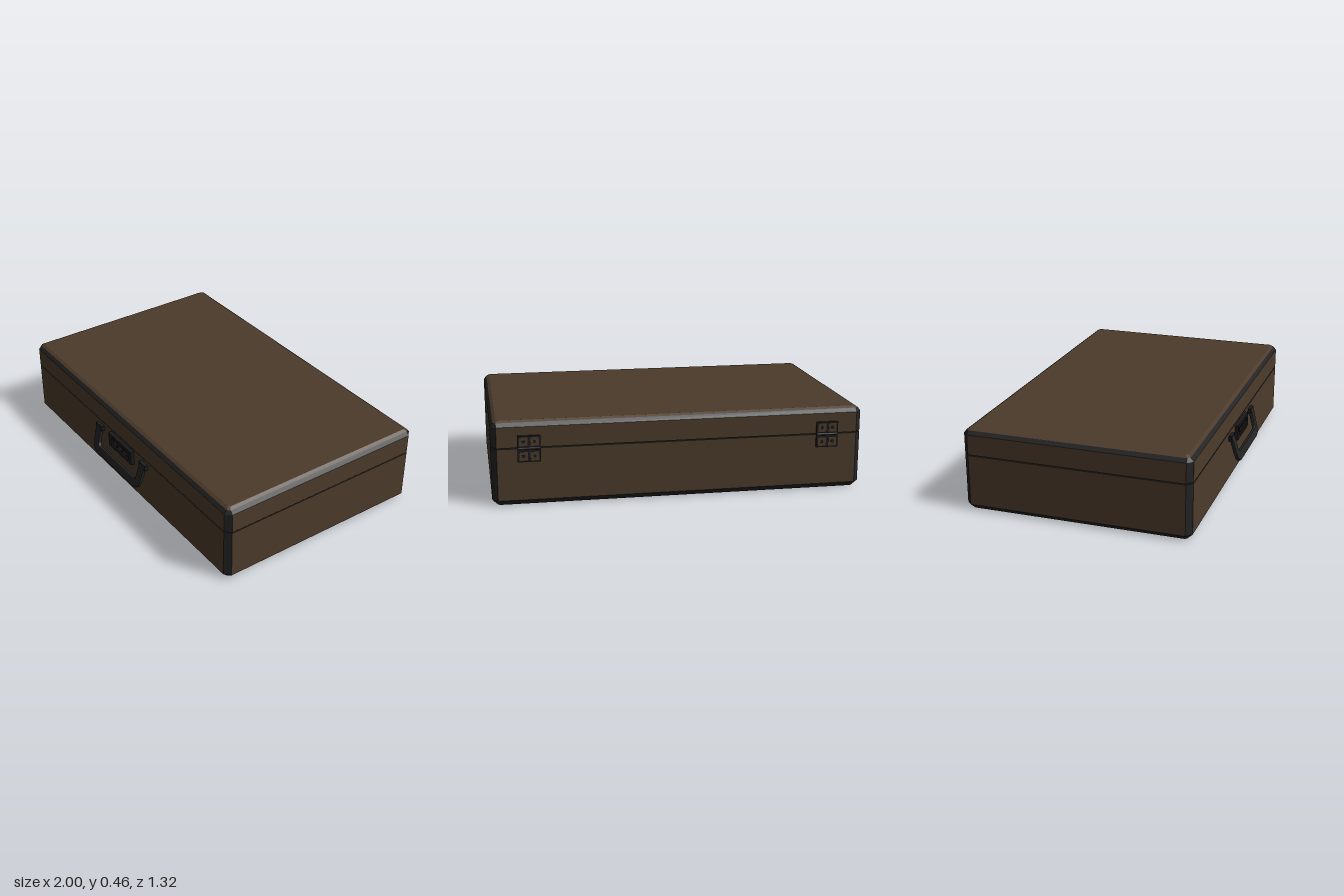
import * as THREE from 'three';

const mat = (name, color, opts = {}) => Object.assign(new THREE.MeshStandardMaterial({ color, ...opts }), { name });

export function createModel() {
  const leather = mat('brownLeather', 0x4c3b2b);
  const trim = mat('darkTrim', 0x242424);
  const metal = mat('blackMetal', 0x1b1b1e);
  const group = new THREE.Group();
  const CZ = -0.025; // depth centre of the case body

  const add = (name, geometry, material, x = 0, y = 0, z = 0, parent = group) => {
    const mesh = new THREE.Mesh(geometry, material);
    mesh.name = name;
    mesh.position.set(x, y, z);
    parent.add(mesh);
    return mesh;
  };
  const box = (name, w, h, d, material, x, y, z, parent) =>
    add(name, new THREE.BoxGeometry(w, h, d), material, x, y, z, parent);

  // Octagonal outline of the case at a given height and inset
  const ring = ([y, inset]) => {
    const hx = 1 - inset, hz = 0.62 - inset, c = Math.max(0.01, 0.03 - inset);
    return [[hx, c - hz], [hx, hz - c], [hx - c, hz], [c - hx, hz],
      [-hx, hz - c], [-hx, c - hz], [c - hx, -hz], [hx - c, -hz]]
      .map(([x, z]) => [x, y, z + CZ]);
  };

  // Half of the case, lofted through [height, inset] levels.
  // bands: 'panel' = leather sides with trim corners, 'trim' or 'leather' = one colour
  const shell = (name, levels, bands, bottomDark, topDark) => {
    const faces = [[], []]; // leather, trim
    const rings = levels.map(ring);
    bands.forEach((band, b) => {
      for (let i = 0; i < 8; i++) {
        const j = (i + 1) % 8, lo = rings[b], up = rings[b + 1];
        const dark = band === 'trim' || (band === 'panel' && i % 2 === 1);
        faces[dark ? 1 : 0].push(lo[i], up[i], lo[j], lo[j], up[i], up[j]);
      }
    });
    const first = rings[0], last = rings[rings.length - 1];
    for (let i = 1; i < 7; i++) {
      faces[bottomDark ? 1 : 0].push(first[0], first[i], first[i + 1]);
      faces[topDark ? 1 : 0].push(last[0], last[i + 1], last[i]);
    }
    const geometry = new THREE.BufferGeometry();
    geometry.setAttribute('position', new THREE.Float32BufferAttribute(faces.flat(2), 3));
    geometry.addGroup(0, faces[0].length, 0);
    geometry.addGroup(faces[0].length, faces[1].length, 1);
    geometry.computeVertexNormals();
    add(name, geometry, [leather, trim]);
  };
  shell('caseBase', [[0, 0.03], [0.03, 0], [0.309, 0]], ['trim', 'panel'], false, true);
  shell('caseLid', [[0.314, 0], [0.425, 0], [0.445, 0.016], [0.455, 0.032]],
    ['panel', 'trim', 'leather'], true, false);

  // Catch bridging the seam behind the lock
  box('lockCatch', 0.1, 0.02, 0.02, leather, 0, 0.311, 0.58);

  // Combination lock: frame, recessed plate and three dials
  const lock = new THREE.Group();
  lock.name = 'combinationLock';
  lock.position.set(0, 0.257, 0.595);
  group.add(lock);
  const frame = new THREE.Shape([[-0.12, -0.043], [0.12, -0.043], [0.12, 0.043], [-0.12, 0.043]]
    .map(p => new THREE.Vector2(...p)));
  frame.holes.push(new THREE.Path([[-0.09, -0.025], [-0.09, 0.025], [0.09, 0.025], [0.09, -0.025]]
    .map(p => new THREE.Vector2(...p))));
  add('lockFrame', new THREE.ExtrudeGeometry(frame, { depth: 0.02, bevelEnabled: false }), metal, 0, 0, 0, lock);
  box('lockPlate', 0.18, 0.05, 0.012, trim, 0, 0, 0.006, lock);
  for (const x of [-0.052, 0, 0.052]) {
    box('dialHousing', 0.044, 0.034, 0.006, metal, x, 0, 0.015, lock);
    box('dial', 0.03, 0.014, 0.004, leather, x, 0, 0.019, lock);
  }

  // Drop handle: rounded U leaning outwards from two mounts
  const u = new THREE.Shape();
  u.moveTo(-0.255, 0.01);
  u.lineTo(-0.243, -0.1);
  u.quadraticCurveTo(-0.238, -0.145, -0.19, -0.15);
  u.lineTo(0.19, -0.15);
  u.quadraticCurveTo(0.238, -0.145, 0.243, -0.1);
  u.lineTo(0.255, 0.01);
  u.lineTo(0.21, 0.01);
  u.lineTo(0.203, -0.085);
  u.quadraticCurveTo(0.2, -0.108, 0.175, -0.11);
  u.lineTo(-0.175, -0.11);
  u.quadraticCurveTo(-0.2, -0.108, -0.203, -0.085);
  u.lineTo(-0.21, 0.01);
  const handle = add('handle', new THREE.ExtrudeGeometry(u, {
    depth: 0.01, bevelThickness: 0.005, bevelSize: 0.004, bevelSegments: 2, curveSegments: 6,
  }), trim, 0, 0.276, 0.602);
  handle.rotation.x = -0.27;

  for (const s of [-1, 1]) {
    box('handleMount', 0.065, 0.03, 0.022, metal, s * 0.23, 0.275, 0.604);

    // Rear hinge: two leaves with inset panels, screws and a barrel on the seam
    const hinge = new THREE.Group();
    hinge.name = 'hinge';
    hinge.position.set(s * 0.803, 0.309, -0.645);
    group.add(hinge);
    for (const v of [-1, 1]) {
      box('hingeLeaf', 0.12, 0.066, 0.012, metal, 0, v * 0.037, -0.005, hinge);
      for (const h of [-1, 1]) {
        box('hingeInset', 0.044, 0.046, 0.003, leather, h * 0.029, v * 0.039, -0.0115, hinge);
        const screw = add('hingeScrew', new THREE.CylinderGeometry(0.009, 0.009, 0.004, 10), metal,
          h * 0.029, v * 0.039, -0.013, hinge);
        screw.rotation.x = Math.PI / 2;
      }
    }
    const barrel = add('hingeBarrel', new THREE.CylinderGeometry(0.008, 0.008, 0.12, 10), metal, 0, 0.002, -0.007, hinge);
    barrel.rotation.z = Math.PI / 2;
  }
  return group;
}
